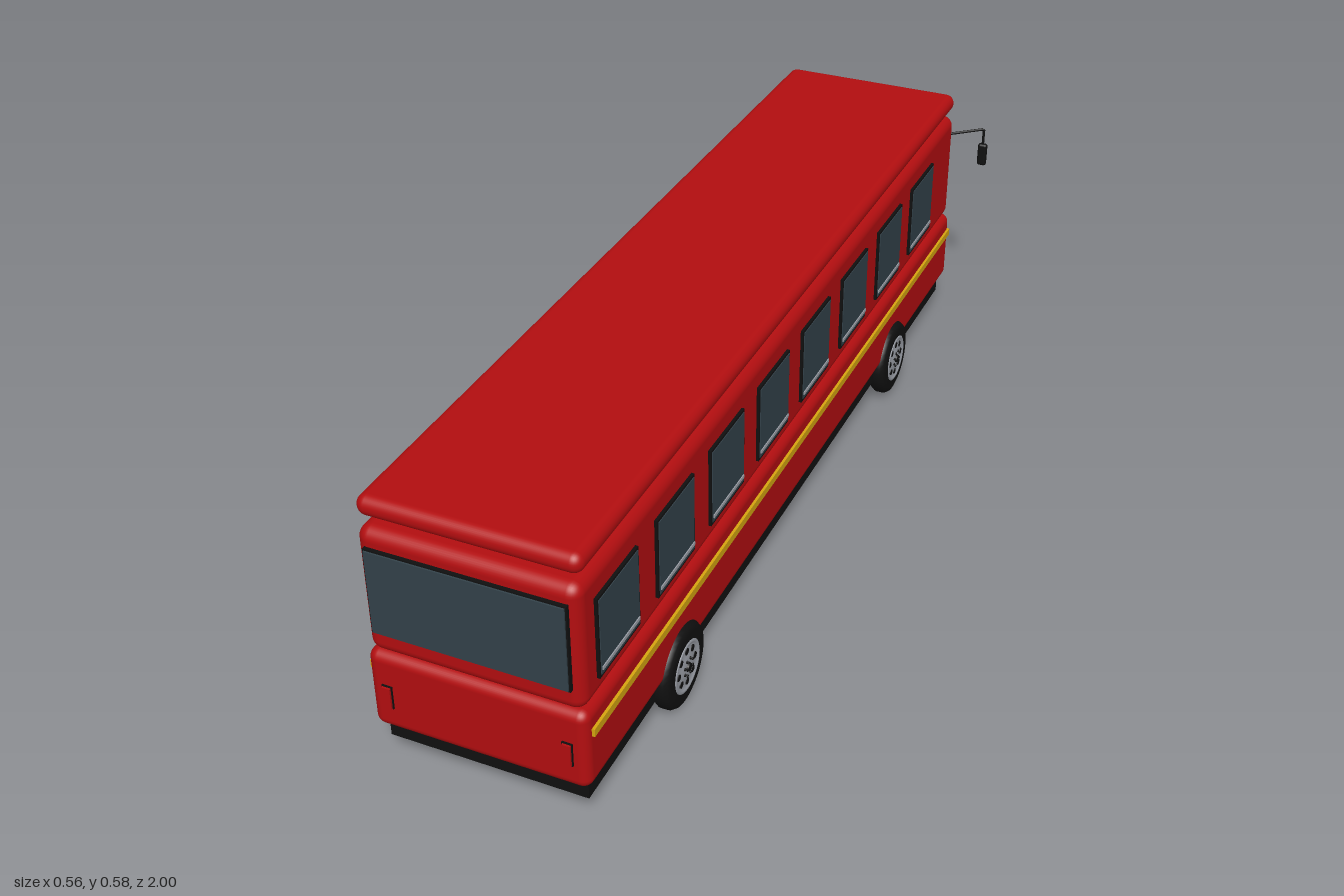
import * as THREE from 'three';
import { RoundedBoxGeometry } from 'three/addons/geometries/RoundedBoxGeometry.js';

const mat = (name, color) => {
  const m = new THREE.MeshStandardMaterial({ color });
  m.name = name;
  return m;
};

export function createModel() {
  const bus = new THREE.Group();
  bus.name = 'bus';
  const red = mat('body red', 0xb30e10);
  const black = mat('rubber black', 0x101010);
  const glass = mat('tinted glass', 0x33424a);
  const yellow = mat('stripe yellow', 0xd6a510);
  const silver = mat('metal silver', 0x9a9ea6);

  const add = (name, geometry, material, parent = bus) => {
    const mesh = new THREE.Mesh(geometry, material);
    mesh.name = name;
    parent.add(mesh);
    return mesh;
  };
  // Box given by its limits; a radius rounds the edges
  const box = (name, material, [x0, x1], [y0, y1], [z0, z1], radius = 0, parent = bus) => {
    const size = [x1 - x0, y1 - y0, z1 - z0];
    const geo = radius ? new RoundedBoxGeometry(...size, 4, radius) : new THREE.BoxGeometry(...size);
    const mesh = add(name, geo, material, parent);
    mesh.position.set((x0 + x1) / 2, (y0 + y1) / 2, (z0 + z1) / 2);
    return mesh;
  };
  const group = (name) => {
    const g = new THREE.Group();
    g.name = name;
    bus.add(g);
    return g;
  };
  const span = (s, a, b) => (s > 0 ? [a, b] : [-b, -a]);

  // Stacked body shells
  box('chassis', black, [-0.195, 0.195], [0.06, 0.11], [-0.94, 0.965]);
  box('lowerBody', red, [-0.21, 0.21], [0.1, 0.268], [-0.963, 0.99], 0.02);
  box('upperBody', red, [-0.205, 0.205], [0.268, 0.527], [-0.96, 0.987], 0.024);
  box('roof', red, [-0.206, 0.206], [0.543, 0.583], [-0.953, 0.98], 0.0195);

  // Side windows and stripes
  for (const s of [1, -1]) {
    box('sideStripe', yellow, span(s, 0.208, 0.2155), [0.214, 0.23], [-0.95, 0.972]);
    for (let i = 0; i < 8; i++) {
      const z = 0.861 - i * 0.225;
      const win = group('sideWindow');
      box('windowFrame', black, span(s, 0.203, 0.211), [0.31, 0.475], [z - 0.076, z + 0.076], 0, win);
      box('windowGlass', glass, span(s, 0.205, 0.2125), [0.316, 0.47], [z - 0.072, z + 0.072], 0, win);
      box('windowRail', silver, span(s, 0.207, 0.2145), [0.325, 0.332], [z - 0.07, z + 0.07], 0, win);
    }
  }

  // Passenger door and its step
  box('doorFrame', black, [-0.217, -0.208], [0.1, 0.466], [-0.675, -0.52]);
  box('doorGlass', glass, [-0.219, -0.2105], [0.104, 0.463], [-0.672, -0.523]);
  box('doorStep', yellow, [-0.224, -0.2], [0.085, 0.1], [-0.675, -0.52]);

  // Rear window and tail lights
  box('rearWindowFrame', black, [-0.187, 0.187], [0.318, 0.494], [0.985, 0.994]);
  box('rearWindow', glass, [-0.184, 0.184], [0.321, 0.491], [0.99, 0.997]);
  for (const s of [1, -1]) {
    box('tailLightRim', black, span(s, 0.163, 0.183), [0.153, 0.202], [0.986, 0.993]);
    box('tailLight', red, span(s, 0.165, 0.181), [0.155, 0.2], [0.989, 0.997]);
  }

  // Windscreen, divider and destination board
  box('windscreenFrame', black, [-0.188, 0.188], [0.311, 0.494], [-0.966, -0.957]);
  box('windscreen', glass, [-0.185, 0.185], [0.314, 0.491], [-0.969, -0.96]);
  box('windscreenDivider', black, [0.079, 0.086], [0.314, 0.491], [-0.972, -0.964]);
  box('destinationBoard', black, [-0.166, 0.166], [0.484, 0.532], [-0.977, -0.955]);

  // Grille with slats
  box('grillePanel', black, [-0.125, 0.125], [0.13, 0.202], [-0.97, -0.96]);
  for (let i = 0; i < 5; i++) {
    const y = 0.139 + i * 0.0135;
    box('grilleSlat', silver, [-0.119, 0.119], [y - 0.002, y + 0.002], [-0.974, -0.966]);
  }

  // Headlights and mirrors
  for (const s of [1, -1]) {
    for (const x of [0.155, 0.186]) {
      const rim = add('headlightRim', new THREE.CylinderGeometry(0.0135, 0.0135, 0.01, 20), black);
      rim.rotation.x = Math.PI / 2;
      rim.position.set(s * x, 0.153, -0.963);
      const lamp = add('headlight', new THREE.SphereGeometry(0.0115, 16, 10), silver);
      lamp.scale.z = 0.6;
      lamp.position.set(s * x, 0.153, -0.967);
    }
    const path = new THREE.CurvePath();
    const p = [[0.2, 0.483, -0.942], [0.27, 0.487, -0.992], [0.27, 0.44, -0.992]]
      .map(([x, y, z]) => new THREE.Vector3(s * x, y, z));
    path.add(new THREE.LineCurve3(p[0], p[1]));
    path.add(new THREE.LineCurve3(p[1], p[2]));
    add('mirrorArm', new THREE.TubeGeometry(path, 24, 0.0032, 8), black);
    box('mirrorHead', black, span(s, 0.259, 0.281), [0.394, 0.449], [-1, -0.986], 0.006);
  }

  // Wheels: axis along x, outer face towards +x before mirroring by rotation
  const tyreProfile = [[0.05, -0.019], [0.07, -0.0195], [0.08, -0.016], [0.085, -0.008],
    [0.085, 0.008], [0.08, 0.016], [0.07, 0.0195], [0.05, 0.019]]
    .map(([r, y]) => new THREE.Vector2(r, y));
  const hubProfile = [[0, -0.022], [0.05, -0.022], [0.054, -0.018], [0.054, 0.019], [0.051, 0.021],
    [0.047, 0.0205], [0.042, 0.017], [0.024, 0.019], [0.02, 0.021], [0, 0.021]]
    .map(([r, y]) => new THREE.Vector2(r, y));
  const tyreGeo = new THREE.LatheGeometry(tyreProfile, 40);
  const hubGeo = new THREE.LatheGeometry(hubProfile, 32);
  const holeGeo = new THREE.CylinderGeometry(0.007, 0.007, 0.004, 12);
  const nutGeo = new THREE.CylinderGeometry(0.003, 0.003, 0.004, 6);
  const capGeo = new THREE.CylinderGeometry(0.008, 0.01, 0.005, 16);
  for (const s of [1, -1]) for (const z of [0.62, -0.55]) {
    const wheel = group('wheel');
    wheel.position.set(s * 0.2025, 0.086, z);
    wheel.rotation.z = -s * Math.PI / 2;
    add('tyre', tyreGeo, black, wheel);
    add('hub', hubGeo, silver, wheel);
    add('hubCap', capGeo, black, wheel).position.y = 0.0225;
    for (let i = 0; i < 8; i++) {
      const a = (i / 8) * Math.PI * 2;
      add('hubHole', holeGeo, black, wheel)
        .position.set(Math.cos(a) * 0.035, 0.0172, Math.sin(a) * 0.035);
      add('wheelNut', nutGeo, black, wheel)
        .position.set(Math.cos(a + 0.39) * 0.018, 0.0215, Math.sin(a + 0.39) * 0.018);
    }
  }
  return bus;
}
